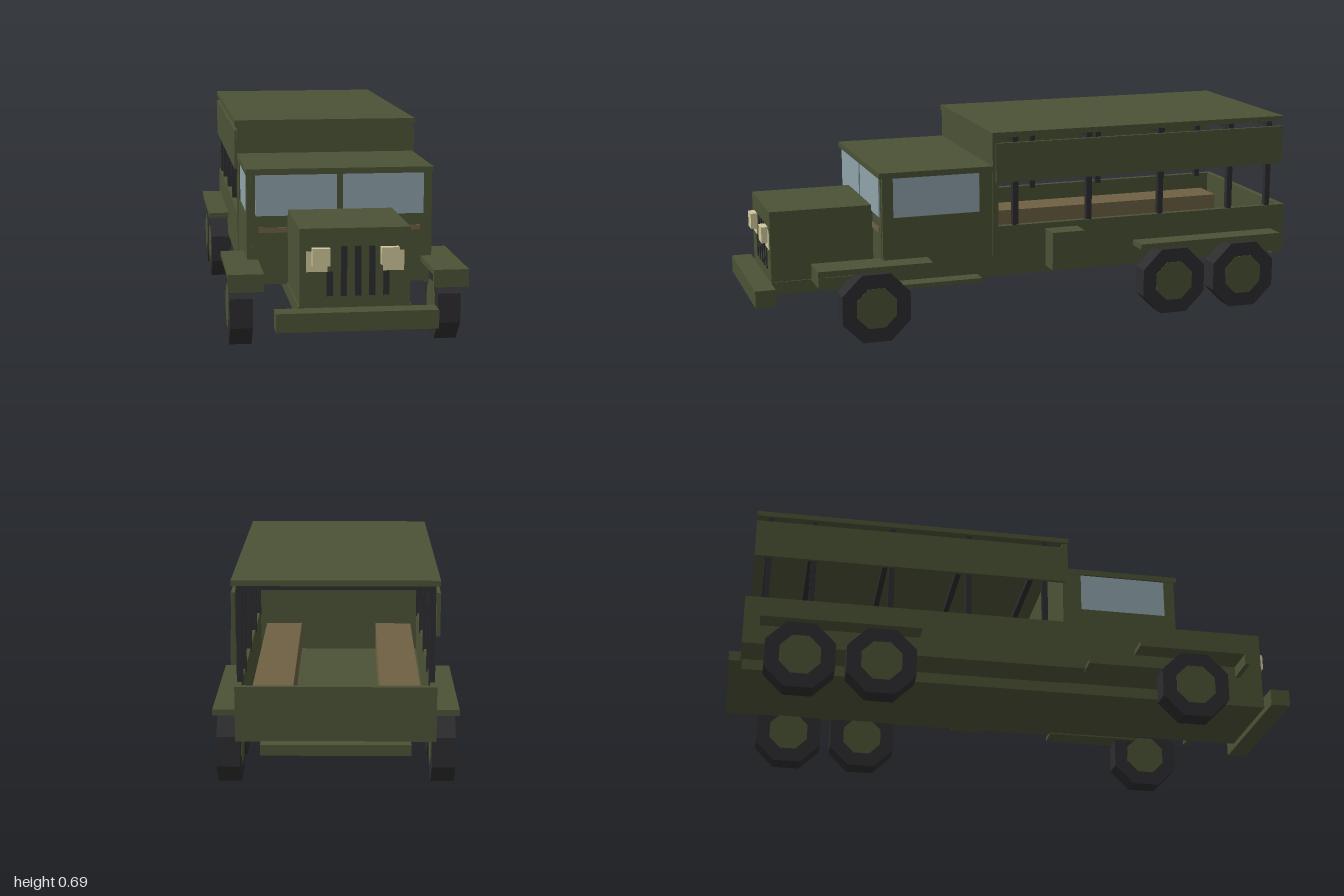
import * as THREE from 'three';

export function createModel() {
  const root = new THREE.Group();
  root.name = 'truck';
  const mat = (name, color, extra = {}) => {
    const m = new THREE.MeshStandardMaterial({ color, ...extra });
    m.name = name;
    return m;
  };
  const green = mat('olive paint', 0x4b5335);
  const black = mat('dark rubber', 0x2d2d2f);
  const glass = mat('window glass', 0x8fa3ab);
  const wood = mat('bench wood', 0x6e6044);
  const lamp = mat('lamp cream', 0xd0c89c);

  // box from its min and max along each axis
  const box = (name, m, x0, x1, y0, y1, z0, z1) => {
    const mesh = new THREE.Mesh(new THREE.BoxGeometry(x1 - x0, y1 - y0, z1 - z0), m);
    mesh.position.set((x0 + x1) / 2, (y0 + y1) / 2, (z0 + z1) / 2);
    mesh.name = name;
    root.add(mesh);
    return mesh;
  };
  // the same box on both sides
  const pair = (name, m, x0, x1, ...rest) => {
    box(name + 'Left', m, x0, x1, ...rest);
    box(name + 'Right', m, -x1, -x0, ...rest);
  };

  // chassis, bumpers and hood
  box('chassis', green, -0.18, 0.18, 0.14, 0.185, -0.955, 0.93);
  box('frontBumper', green, -0.255, 0.255, 0.12, 0.18, 0.93, 1);
  box('rearBumper', green, -0.235, 0.235, 0.145, 0.18, -1, -0.96);
  box('hood', green, -0.175, 0.175, 0.178, 0.432, 0.56, 0.93);

  // grille slats and headlights
  for (let i = 0; i < 5; i++) {
    const x = -0.08 + i * 0.0447;
    box('grilleSlat', black, x - 0.01, x + 0.01, 0.217, i % 4 ? 0.375 : 0.295, 0.929, 0.933);
  }
  pair('headlight', lamp, 0.08, 0.137, 0.316, 0.372, 0.93, 0.953);
  pair('headlightPlate', lamp, 0.088, 0.155, 0.295, 0.36, 0.928, 0.932);

  // cab with roof and windows
  box('cab', green, -0.297, 0.297, 0.18, 0.55, 0.165, 0.57);
  pair('cabSide', green, 0.297, 0.312, 0.18, 0.412, 0.165, 0.568);
  pair('cabRearPillar', green, 0.297, 0.312, 0.412, 0.55, 0.165, 0.222);
  pair('cabFrontPillar', green, 0.297, 0.312, 0.412, 0.55, 0.53, 0.568);
  box('cabRoof', green, -0.315, 0.315, 0.55, 0.57, 0.16, 0.578);
  pair('windshield', glass, 0.01, 0.283, 0.412, 0.55, 0.567, 0.574);
  pair('sideWindow', glass, 0.3, 0.308, 0.412, 0.55, 0.222, 0.53);
  pair('cowlStrip', wood, 0.175, 0.272, 0.355, 0.373, 0.567, 0.573);

  // open cargo bed
  box('bedFloor', green, -0.315, 0.315, 0.178, 0.2, -0.96, 0.175);
  pair('bedSide', green, 0.295, 0.315, 0.2, 0.355, -0.96, 0.16);
  box('tailgate', green, -0.295, 0.295, 0.2, 0.355, -0.96, -0.94);
  box('bedFrontWall', green, -0.315, 0.315, 0.2, 0.67, 0.155, 0.175);
  pair('bench', wood, 0.14, 0.272, 0.2, 0.3, -0.9, 0.15);

  // canopy on posts and ribs
  box('canopyRoof', green, -0.323, 0.323, 0.67, 0.688, -0.94, 0.178);
  pair('canopySide', green, 0.311, 0.323, 0.512, 0.65, -0.94, 0.165);
  for (const z of [0.09, -0.185, -0.46, -0.735, -0.89]) {
    pair('canopyPost', black, 0.291, 0.311, 0.345, 0.67, z - 0.01, z + 0.01);
    box('canopyRib', black, -0.291, 0.291, 0.65, 0.67, z - 0.01, z + 0.01);
  }

  // fenders, running boards and fuel tank
  pair('frontFender', green, 0.275, 0.39, 0.247, 0.266, 0.412, 0.81);
  pair('frontFenderLip', green, 0.275, 0.39, 0.208, 0.247, 0.793, 0.81);
  pair('rearFender', green, 0.305, 0.39, 0.247, 0.266, -0.905, -0.355);
  pair('runningBoard', green, 0.29, 0.37, 0.175, 0.19, 0.232, 0.57);
  box('fuelTank', green, 0.31, 0.39, 0.2, 0.335, -0.14, -0.02);

  // octagonal wheels with hubs, resting on a flat
  const disc = (r, width) => {
    const g = new THREE.CylinderGeometry(r, r, width, 8).toNonIndexed();
    g.rotateY(Math.PI / 8);
    g.rotateZ(Math.PI / 2);
    g.computeVertexNormals();
    return g;
  };
  const tireGeo = disc(0.1285, 0.075);
  const hubGeo = disc(0.075, 0.079);
  for (const z of [0.61, -0.49, -0.765]) {
    for (const side of [1, -1]) {
      const wheel = new THREE.Group();
      wheel.name = 'wheel';
      const tire = new THREE.Mesh(tireGeo, black);
      tire.name = 'tire';
      const hub = new THREE.Mesh(hubGeo, green);
      hub.name = 'hub';
      wheel.add(tire, hub);
      wheel.position.set(side * 0.343, 0.119, z);
      root.add(wheel);
    }
  }
  return root;
}
